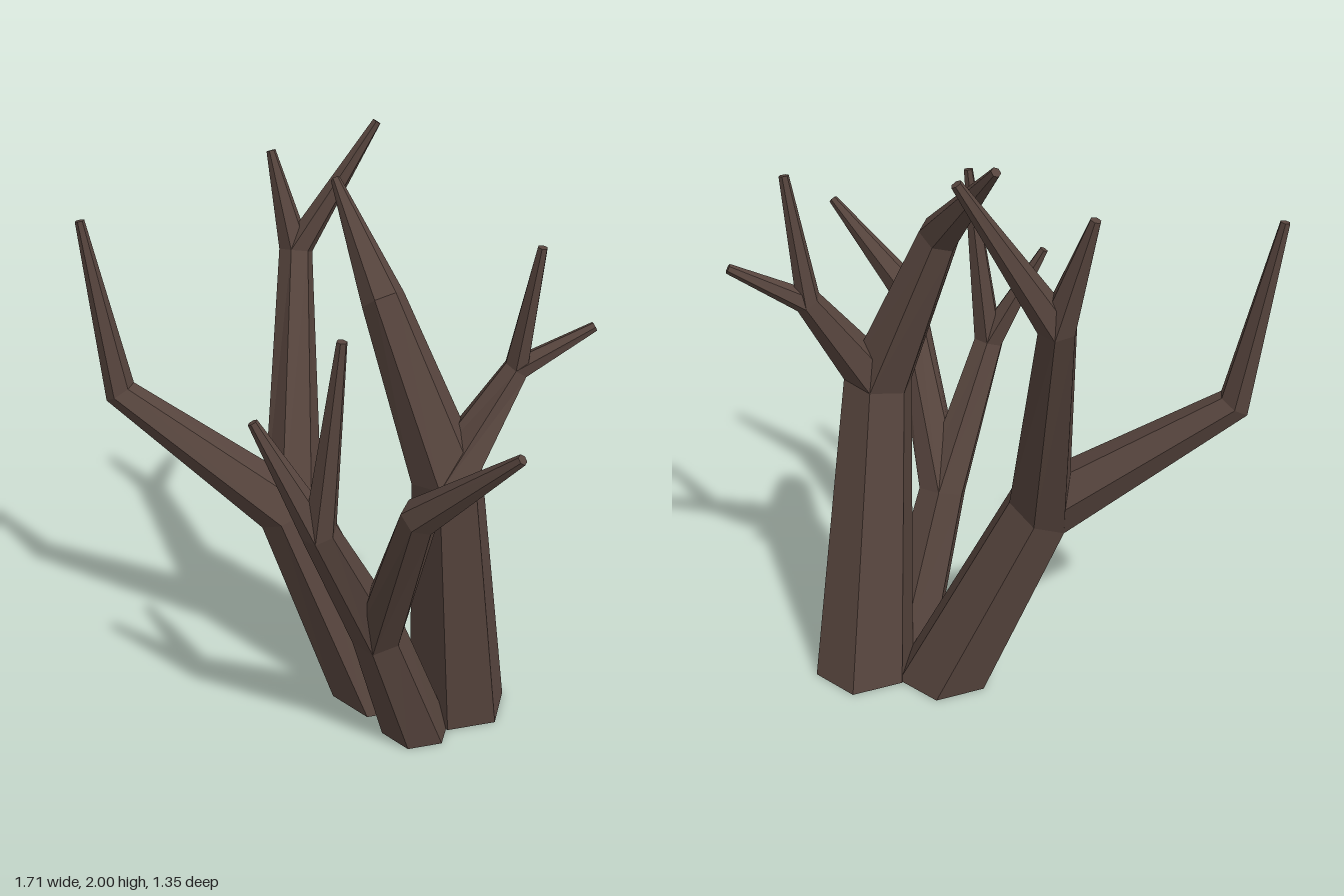
import * as THREE from 'three';

const SIDES = 6;

// Hexagonal ring round point p, square to n, with a corner facing front
function ring(p, n, r) {
  const u = new THREE.Vector3(0, 0, 1).addScaledVector(n, -n.z).normalize();
  const v = new THREE.Vector3().crossVectors(n, u);
  return Array.from({ length: SIDES }, (_, i) => {
    const a = (i / SIDES) * Math.PI * 2;
    return p.clone().addScaledVector(u, r * Math.cos(a)).addScaledVector(v, r * Math.sin(a));
  });
}

// Tapered limb section between two rings, with optional end caps
function section(lower, upper, capLower, capUpper, material, name) {
  const pts = [];
  for (let i = 0; i < SIDES; i++) {
    const j = (i + 1) % SIDES;
    pts.push(lower[i], lower[j], upper[j], lower[i], upper[j], upper[i]);
    if (i > 0 && i < SIDES - 1) {
      if (capLower) pts.push(lower[0], lower[j], lower[i]);
      if (capUpper) pts.push(upper[0], upper[i], upper[j]);
    }
  }
  const geometry = new THREE.BufferGeometry().setFromPoints(pts);
  geometry.computeVertexNormals();
  const mesh = new THREE.Mesh(geometry, material);
  mesh.name = name;
  return mesh;
}

// Limb node: position, radius, limbs growing from it, optional ring direction
const node = (x, y, z, r, limbs = [], dir = null) =>
  ({ p: new THREE.Vector3(x, y, z), r, limbs, dir: dir && new THREE.Vector3(...dir).normalize() });
const tip = (x, y, z) => node(x, y, z, 0.016);

const trunks = {
  thickTrunk: node(0.485, 0, -0.17, 0.18, [
    node(0.44, 1.05, 0.04, 0.12, [
      node(0.205, 1.6, -0.015, 0.07, [tip(-0.015, 1.895, -0.265)]),
      node(0.62, 1.38, -0.1, 0.045, [tip(0.675, 1.79, -0.08), tip(0.845, 1.515, -0.185)]),
    ], [-0.18, 1, 0.02]),
  ]),
  leaningTrunk: node(0.19, 0, -0.16, 0.175, [
    node(-0.14, 0.715, -0.16, 0.12, [
      node(-0.745, 1.13, -0.11, 0.057, [tip(-0.845, 1.735, -0.11)]),
      node(-0.23, 1.55, -0.54, 0.06, [tip(-0.33, 1.885, -0.585), tip(0.025, 1.99, -0.66)]),
    ], [-0.56, 1, -0.05]),
  ]),
  frontTrunk: node(0.37, 0, 0.025, 0.125, [
    node(0.265, 0.52, 0.215, 0.09, [
      node(0.13, 1.02, 0.455, 0.057, [tip(-0.065, 1.375, 0.48), tip(0.2, 1.655, 0.475)]),
      node(0.45, 1.17, 0.54, 0.06, [tip(0.74, 1.455, 0.66)]),
    ]),
  ]),
};

export function createModel() {
  const model = new THREE.Group();
  const bark = new THREE.MeshStandardMaterial({ color: 0x56443d, flatShading: true });
  bark.name = 'darkBark';

  function grow(parent, from, lower, group, depth) {
    for (const limb of from.limbs) {
      // Ring halfway between the incoming limb and the ones that leave it
      const along = limb.p.clone().sub(from.p).normalize();
      const n = along.clone().multiplyScalar(limb.limbs.length || 1);
      for (const next of limb.limbs) n.add(next.p.clone().sub(limb.p).normalize());
      const upper = ring(limb.p, limb.dir || n.normalize(), limb.r);
      const name = depth === 0 ? 'trunk' : limb.limbs.length ? 'branch' : 'twig';
      group.add(section(lower, upper, depth === 0, !limb.limbs.length, bark, name));
      grow(from, limb, upper, group, depth + 1);
    }
  }

  for (const [name, root] of Object.entries(trunks)) {
    const group = new THREE.Group();
    group.name = name;
    grow(null, root, ring(root.p, new THREE.Vector3(0, 1, 0), root.r), group, 0);
    model.add(group);
  }
  return model;
}
